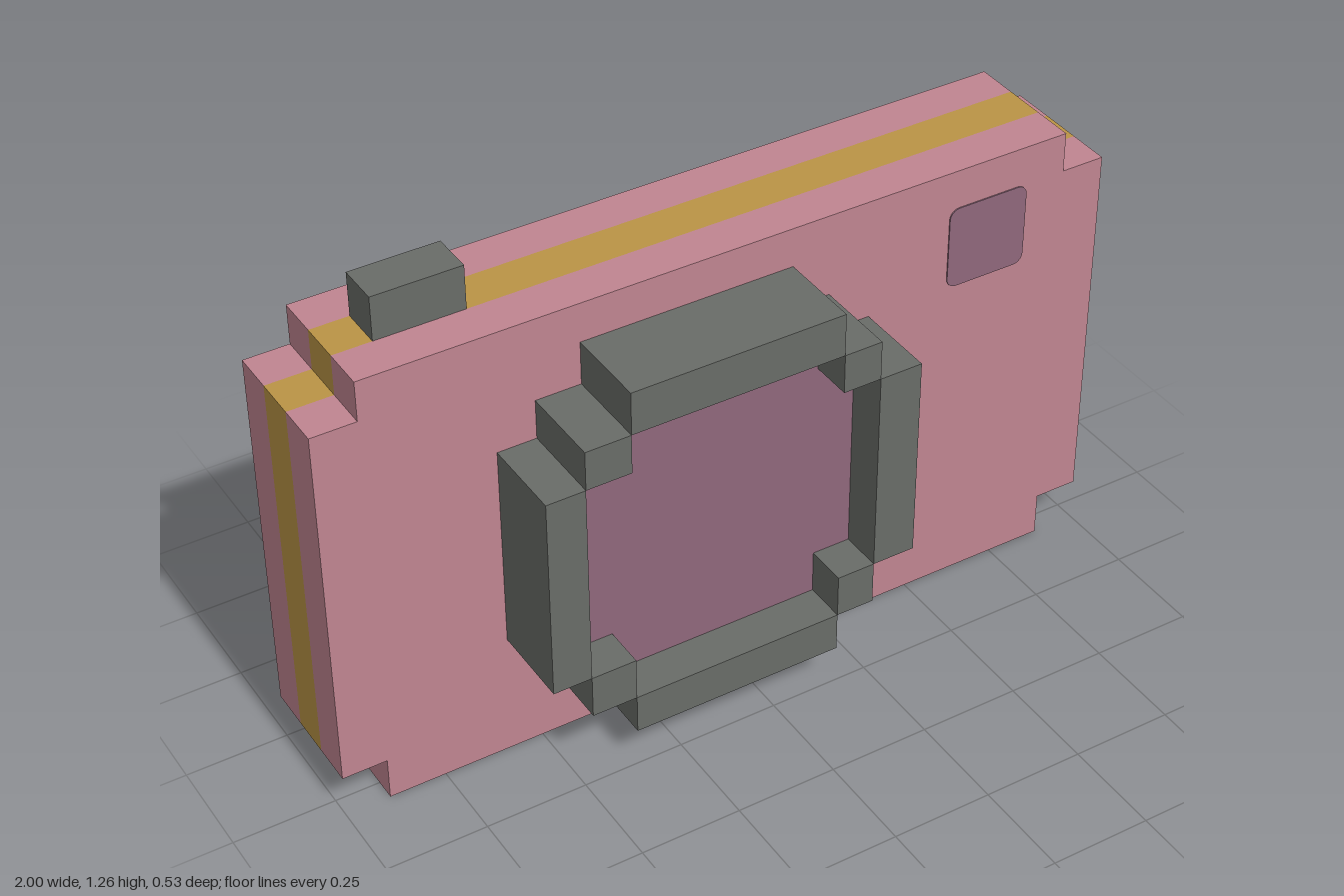
import * as THREE from 'three';

const material = (name, color) => {
  const m = new THREE.MeshStandardMaterial({ color });
  m.name = name;
  return m;
};

export function createModel() {
  const pink = material('pink', 0xc08591);
  const ochre = material('ochre', 0xba9446);
  const grey = material('grey', 0x696c68);
  const mauve = material('mauve', 0x8f687b);

  const model = new THREE.Group();
  model.name = 'camera';

  const add = (parent, name, geometry, mat) => {
    const mesh = new THREE.Mesh(geometry, mat);
    mesh.name = name;
    parent.add(mesh);
    return mesh;
  };

  // Box given by its limits on each axis
  const block = (parent, name, mat, [x0, x1], [y0, y1], [z0, z1]) =>
    add(parent, name, new THREE.BoxGeometry(x1 - x0, y1 - y0, z1 - z0), mat)
      .position.set((x0 + x1) / 2, (y0 + y1) / 2, (z0 + z1) / 2);

  // Rectangle with a square notch in each corner: outer limits a, inner limits b
  const notched = ([ax0, ax1], [ay0, ay1], [bx0, bx1], [by0, by1]) =>
    new THREE.Shape([
      [bx0, ay0], [bx1, ay0], [bx1, by0], [ax1, by0], [ax1, by1], [bx1, by1],
      [bx1, ay1], [bx0, ay1], [bx0, by1], [ax0, by1], [ax0, by0], [bx0, by0],
    ].map(([x, y]) => new THREE.Vector2(x, y)));

  const slab = (parent, name, mat, shape, z0, z1) =>
    add(parent, name, new THREE.ExtrudeGeometry(shape, { depth: z1 - z0, bevelEnabled: false }), mat)
      .position.z = z0;

  // Body: two shells with a coloured band between them
  const body = new THREE.Group();
  body.name = 'body';
  model.add(body);
  const outline = notched([-1, 1], [0, 1.155], [-0.89, 0.89], [0.11, 1.055]);
  slab(body, 'backShell', pink, outline, -0.263, -0.158);
  slab(body, 'band', ochre, outline, -0.158, -0.053);
  slab(body, 'frontShell', pink, outline, -0.053, 0.053);

  // Shutter button
  block(model, 'shutterButton', grey, [-0.795, -0.577], [1.155, 1.265], [-0.158, -0.053]);

  // Lens barrel: four bars joined by corner blocks, around recessed glass
  const lens = new THREE.Group();
  lens.name = 'lens';
  model.add(lens);
  const xs = [-0.578, -0.482, -0.37, 0.162, 0.258, 0.366];
  const ys = [0.112, 0.212, 0.322, 0.847, 0.947, 1.056];
  const depth = [0.053, 0.263];
  const span = (list, i, j = i + 1) => [list[i], list[j]];
  for (const i of [0, 4]) {
    block(lens, 'lensSideBar', grey, span(xs, i), span(ys, 2), depth);
    block(lens, 'lensCrossBar', grey, span(xs, 2), span(ys, i), depth);
  }
  for (const i of [1, 3])
    for (const j of [1, 3])
      block(lens, 'lensCorner', grey, span(xs, i), span(ys, j), depth);
  slab(lens, 'lensGlass', mauve,
    notched(span(xs, 1, 4), span(ys, 1, 4), span(xs, 2), span(ys, 2)), 0.053, 0.158);

  // Flash window: thin plate with rounded corners
  const r = 0.025, h = 0.105;
  const flash = new THREE.Shape();
  flash.absarc(h - r, h - r, r, 0, Math.PI / 2);
  flash.absarc(r - h, h - r, r, Math.PI / 2, Math.PI);
  flash.absarc(r - h, r - h, r, Math.PI, Math.PI * 1.5);
  flash.absarc(h - r, r - h, r, Math.PI * 1.5, Math.PI * 2);
  add(model, 'flashWindow',
    new THREE.ExtrudeGeometry(flash, { depth: 0.003, bevelEnabled: false, curveSegments: 4 }), mauve)
    .position.set(0.682, 0.951, 0.053);

  return model;
}
